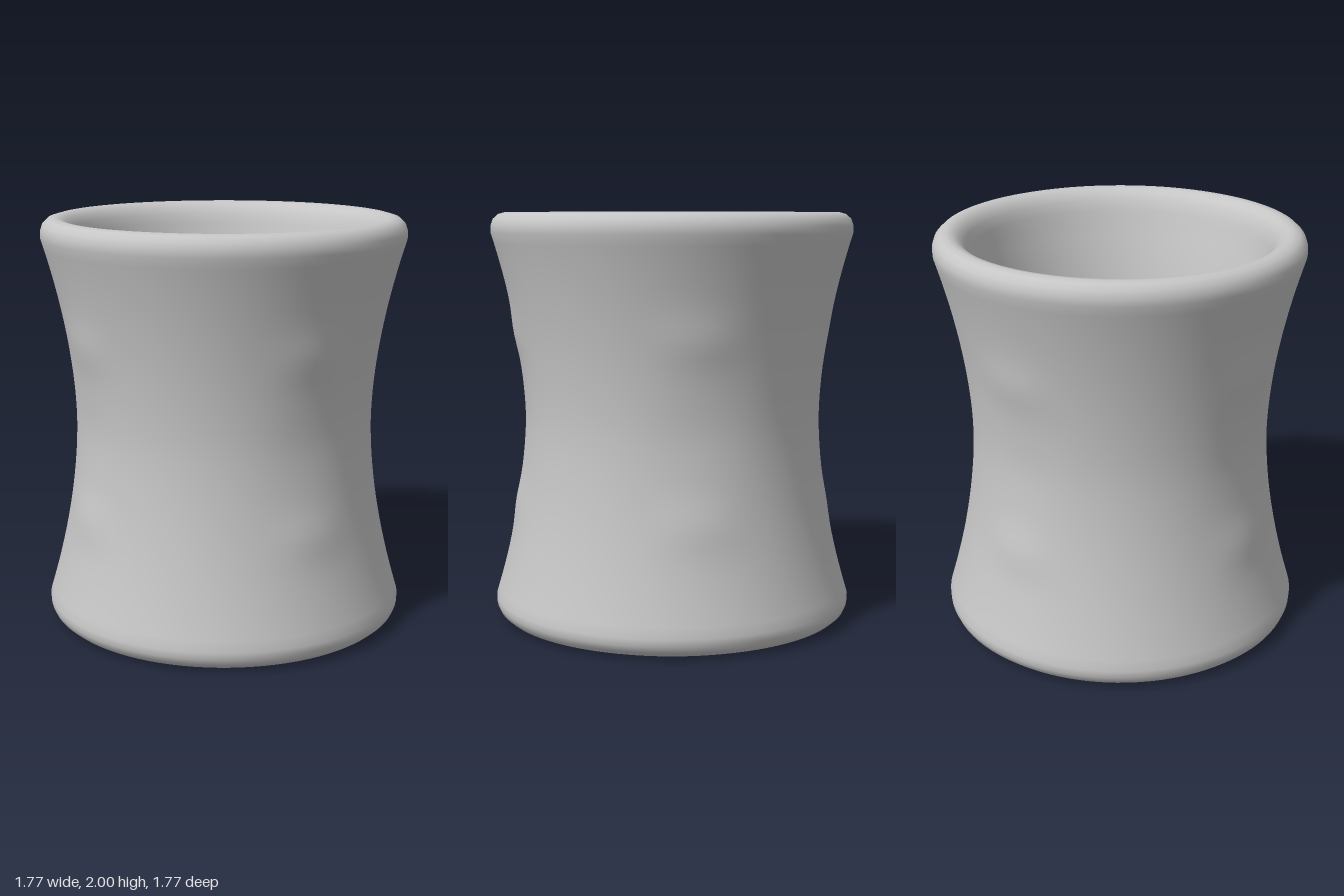
import * as THREE from 'three';
import { mergeVertices } from 'three/addons/utils/BufferGeometryUtils.js';

const SEGMENTS = 96;
const FLOOR_Y = 0.16;
const outerRadius = (y) => 0.733 + 0.157 * Math.pow(Math.abs(y - 1) / 0.91, 1.8);
const innerRadius = (y) => 0.568 + 0.142 * Math.pow(Math.abs(y - 1) / 0.85, 1.8);

// Faint ripples on the four sides of the outer wall
function ripple(geometry) {
  const p = geometry.attributes.position;
  for (let i = 0; i < p.count; i++) {
    const x = p.getX(i), y = p.getY(i), z = p.getZ(i);
    const r = Math.hypot(x, z);
    if (r < 0.72 || y < 0.15 || y > 1.85) continue;
    const side = Math.max(0, Math.cos(4 * Math.atan2(z, x))) ** 2;
    const d = Math.abs(y - 1);
    const bump = 0.012 * Math.exp(-(((d - 0.42) / 0.11) ** 2)) - 0.004 * Math.exp(-((d / 0.15) ** 2));
    const s = 1 + (side * bump) / r;
    p.setXYZ(i, x * s, y, z * s);
  }
}

function smoothLathe(points) {
  const lathe = new THREE.LatheGeometry(points, SEGMENTS);
  lathe.deleteAttribute('uv');
  lathe.deleteAttribute('normal');
  const geometry = mergeVertices(lathe, 1e-4);
  ripple(geometry);
  geometry.computeVertexNormals();
  return geometry;
}

export function createModel() {
  const group = new THREE.Group();
  group.name = 'waistedCup';
  const grey = new THREE.MeshStandardMaterial({ color: 0xc6c6c6 });
  grey.name = 'plain grey';

  const add = (name, geometry) => {
    const mesh = new THREE.Mesh(geometry, grey);
    mesh.name = name;
    group.add(mesh);
    return mesh;
  };

  // Outer wall, rounded rim and inner wall as one profile
  const profile = [[0.81, 0], [0.845, 0.012], [0.872, 0.035], [0.885, 0.065]];
  for (let y = 0.1; y < 1.91; y += 0.05) profile.push([outerRadius(y), y]);
  profile.push([0.887, 1.935], [0.876, 1.967], [0.852, 1.99], [0.82, 1.999],
    [0.79, 1.994], [0.76, 1.975], [0.735, 1.94], [0.718, 1.89]);
  for (let y = 1.83; y > FLOOR_Y; y -= 0.06) profile.push([innerRadius(y), y]);
  profile.push([innerRadius(FLOOR_Y), FLOOR_Y - 0.02]);
  add('wall', smoothLathe(profile.map(([r, y]) => new THREE.Vector2(r, y))));

  // Flat floor inside the cup
  const floor = add('floor', new THREE.CircleGeometry(0.73, SEGMENTS));
  floor.rotation.x = -Math.PI / 2;
  floor.position.y = FLOOR_Y;

  // Flat underside
  const underside = add('underside', new THREE.CircleGeometry(0.81, SEGMENTS));
  underside.rotation.x = Math.PI / 2;

  return group;
}
